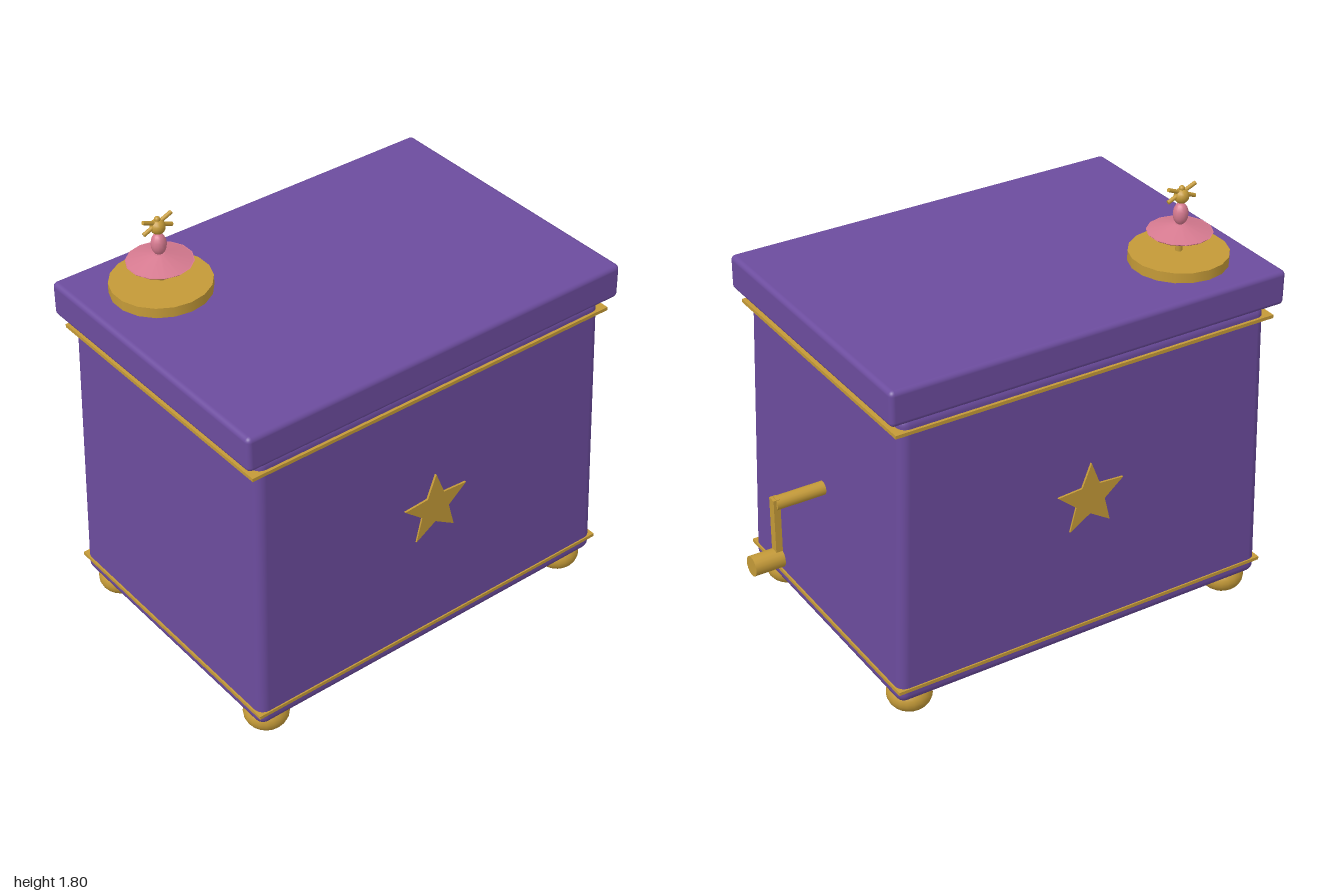
import * as THREE from 'three';
import { RoundedBoxGeometry } from 'three/addons/geometries/RoundedBoxGeometry.js';

export function createModel() {
  const group = new THREE.Group();
  const material = (name, color) => {
    const m = new THREE.MeshStandardMaterial({ color });
    m.name = name;
    return m;
  };
  const purple = material('purple paint', 0x6c4c9e);
  const gold = material('gold', 0xc49a38);
  const pink = material('pink', 0xd67a90);

  const add = (name, geometry, mat, x = 0, y = 0, z = 0, parent = group) => {
    const mesh = new THREE.Mesh(geometry, mat);
    mesh.name = name;
    mesh.position.set(x, y, z);
    parent.add(mesh);
    return mesh;
  };
  const CX = -0.137; // box centre, offset to leave room for the crank

  // Tapered body with softened edges
  const body = new RoundedBoxGeometry(1.68, 1.24, 1.19, 3, 0.04);
  const p = body.attributes.position;
  for (let i = 0; i < p.count; i++) {
    const t = (p.getY(i) + 0.62) / 1.24;
    p.setX(i, p.getX(i) * (1 - 0.045 * t));
    p.setZ(i, p.getZ(i) * (1 - 0.025 * t));
  }
  add('body', body, purple, CX, 0.72, 0);

  // Overhanging lid
  add('lid', new RoundedBoxGeometry(1.725, 0.145, 1.23, 3, 0.02), purple, CX, 1.4125, 0);

  // Thin gold bands
  add('upperBand', new THREE.BoxGeometry(1.665, 0.014, 1.184), gold, CX, 1.286, 0);
  add('lowerBand', new THREE.BoxGeometry(1.69, 0.014, 1.2), gold, CX, 0.165, 0);

  // Flattened ball feet
  const foot = new THREE.SphereGeometry(0.09, 20, 14);
  foot.scale(1, 0.78, 1);
  for (const sx of [-1, 1])
    for (const sz of [-1, 1]) add('foot', foot, gold, CX + sx * 0.742, 0.07, sz * 0.495);

  // Star on the front and back
  const star = new THREE.Shape();
  for (let i = 0; i < 10; i++) {
    const r = i % 2 ? 0.068 : 0.155;
    const a = Math.PI / 2 + (i * Math.PI) / 5;
    star[i ? 'lineTo' : 'moveTo'](r * Math.cos(a), r * Math.sin(a));
  }
  star.closePath();
  const starGeometry = new THREE.ExtrudeGeometry(star, { depth: 0.02, bevelEnabled: false });
  add('frontStar', starGeometry, gold, CX - 0.005, 0.745, 0.575);
  add('backStar', starGeometry, gold, CX - 0.005, 0.745, -0.575).rotation.y = Math.PI;

  // Hand crank
  const crank = new THREE.Group();
  crank.name = 'crank';
  group.add(crank);
  const rod = (r, length) => new THREE.CylinderGeometry(r, r, length, 16).rotateZ(Math.PI / 2);
  add('crankShaft', rod(0.028, 0.24), gold, 0.77, 0.747, 0, crank);
  add('crankArm', new THREE.BoxGeometry(0.028, 0.27, 0.036), gold, 0.888, 0.635, 0, crank);
  add('crankHandle', rod(0.041, 0.125), gold, 0.9375, 0.5, 0, crank);

  // Turntable with a dancer
  const dancer = new THREE.Group();
  dancer.name = 'dancer';
  dancer.position.set(-0.705, 0, -0.325);
  group.add(dancer);
  add('turntable', new THREE.CylinderGeometry(0.195, 0.195, 0.05, 18), gold, 0, 1.501, 0, dancer);
  add('leg', new THREE.CylinderGeometry(0.014, 0.014, 0.12, 10), gold, 0, 1.57, 0, dancer);
  add('skirt', new THREE.CylinderGeometry(0.02, 0.128, 0.03, 14), pink, 0, 1.623, 0, dancer);
  add('skirtHem', new THREE.CylinderGeometry(0.128, 0.122, 0.006, 14), pink, 0, 1.606, 0, dancer);
  const torso = new THREE.SphereGeometry(0.03, 14, 10);
  torso.scale(1, 1.5, 1);
  add('torso', torso, pink, 0, 1.68, 0, dancer);
  add('head', new THREE.SphereGeometry(0.03, 14, 10), gold, 0, 1.753, 0, dancer);
  add('hairBun', new THREE.SphereGeometry(0.012, 10, 8), gold, 0, 1.784, 0, dancer);
  // Raised arms crossing at the head
  for (const s of [-1, 1]) {
    const arm = add('arm', rod(0.008, 0.135), gold, 0, 1.766, 0, dancer);
    arm.rotation.z = s * 0.4;
  }
  return group;
}
